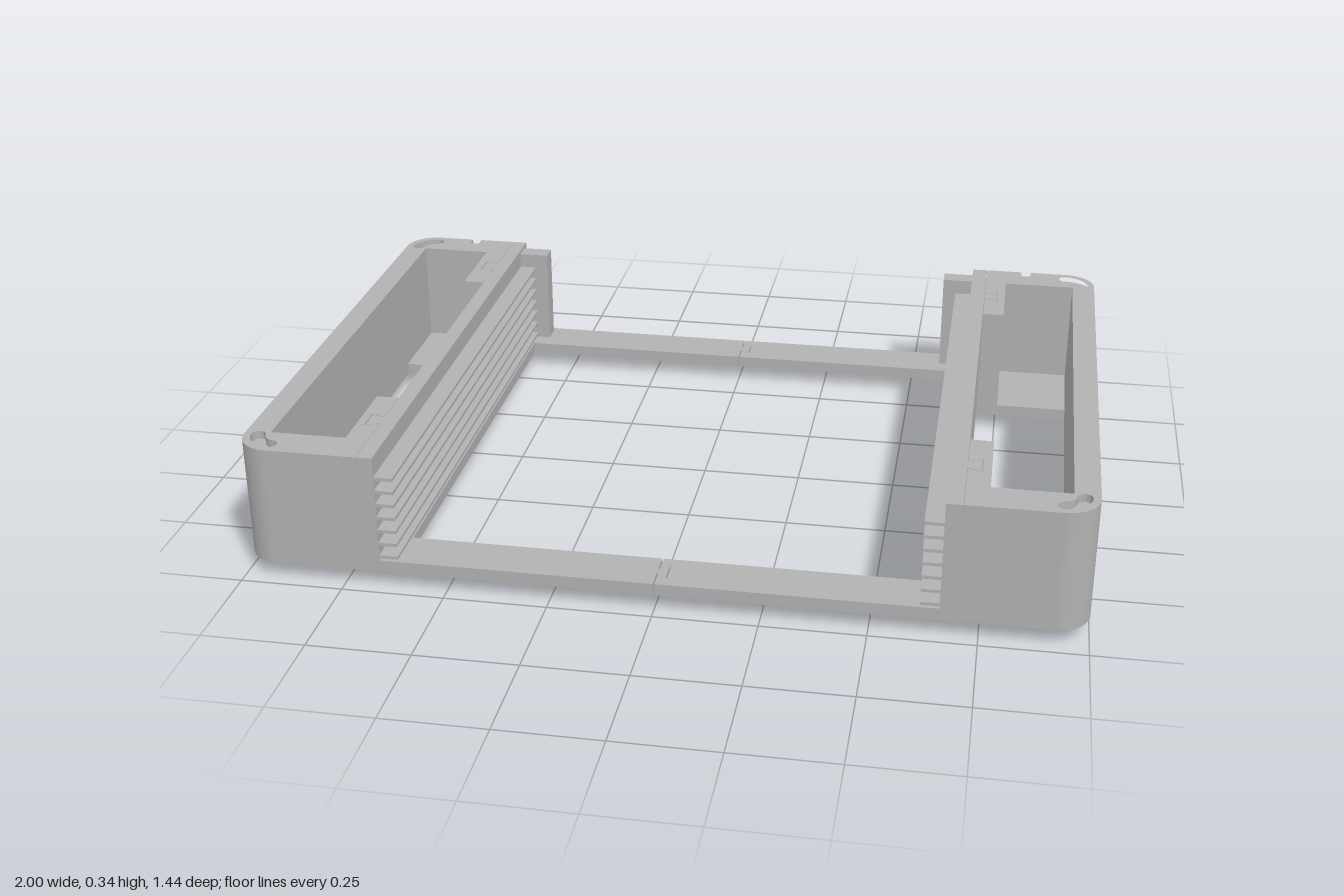
import * as THREE from 'three';

const grey = new THREE.MeshStandardMaterial({ color: 0xb2b2b2 });
grey.name = 'grey plastic';

const path = (pts, s, Type) => new Type(pts.map(([x, y]) => new THREE.Vector2(x * s, y)));

function add(group, name, geometry) {
  const mesh = new THREE.Mesh(geometry, grey);
  mesh.name = name;
  group.add(mesh);
}

// Upright prism from a plan outline of [x, z] points; s mirrors x
function plan(group, name, pts, y0, y1, s = 1, holes = []) {
  const shape = path(pts, s, THREE.Shape);
  holes.forEach(h => shape.holes.push(path(h, s, THREE.Path)));
  const geo = new THREE.ExtrudeGeometry(shape, { depth: y1 - y0, bevelEnabled: false });
  geo.rotateX(Math.PI / 2).translate(0, y1, 0);
  add(group, name, geo);
}

// Prism from a front outline of [x, y] points, running along z
function elevation(group, name, pts, z0, z1, s) {
  const geo = new THREE.ExtrudeGeometry(path(pts, s, THREE.Shape), { depth: z1 - z0, bevelEnabled: false });
  add(group, name, geo.translate(0, 0, z0));
}

function box(group, name, x0, x1, y0, y1, z0, z1, s = 1) {
  const geo = new THREE.BoxGeometry(x1 - x0, y1 - y0, z1 - z0);
  add(group, name, geo.translate(s * (x0 + x1) / 2, (y0 + y1) / 2, (z0 + z1) / 2));
}

function arc(cx, cz, r, a0, a1, n) {
  const pts = [];
  for (let i = 0; i <= n; i++) {
    const a = a0 + (a1 - a0) * i / n;
    pts.push([cx + r * Math.cos(a), cz + r * Math.sin(a)]);
  }
  return pts;
}

// Curved bean with round ends, following a corner; f is +1 front, -1 back
function bean(f, r, half) {
  const cx = 0.915, cz = 0.635, a0 = 0.12, a1 = Math.PI / 2 - 0.12;
  const end = a => [cx + r * Math.cos(a), cz + r * Math.sin(a)];
  return [
    ...arc(cx, cz, r + half, a0, a1, 8),
    ...arc(...end(a1), half, a1, a1 + Math.PI, 6).slice(1),
    ...arc(cx, cz, r - half, a1, a0, 8).slice(1),
    ...arc(...end(a0), half, a0 + Math.PI, a0 + 2 * Math.PI, 6).slice(1, -1),
  ].map(([x, z]) => [x, z * f]);
}

// Dovetail points in +x from an edge at x, in order of rising z
const dovetail = (x, z, depth, neck, wide) => [
  [x, z - neck], [x + depth, z - wide], [x + depth, z + wide], [x, z + neck],
];

function sideBox(s) {
  const g = new THREE.Group();
  g.name = s > 0 ? 'leftBox' : 'rightBox';
  const R = 0.08;

  // Outer walls with rounded corners and a recess for the back joint
  const walls = [
    [0.70, 0.72], ...arc(1 - R, 0.72 - R, R, Math.PI / 2, 0, 12),
    ...arc(1 - R, R - 0.72, R, 0, -Math.PI / 2, 12),
    [0.86, -0.72], [0.86, -0.69], [0.76, -0.69], [0.76, -0.72], [0.70, -0.72],
    [0.70, -0.625], [0.94, -0.625], [0.94, 0.625], [0.70, 0.625],
  ];
  plan(g, 'outerWall', walls, 0.04, 0.32, s);
  plan(g, 'slottedRim', walls, 0.32, 0.34, s, [bean(1, 0.05, 0.018), bean(-1, 0.05, 0.018)]);

  // Stacking joint on the back: socket above, tongue below
  elevation(g, 'stackingSocket', [
    [0.76, 0.04], [0.86, 0.04], [0.86, 0.34], [0.823, 0.34], [0.823, 0.328],
    [0.835, 0.312], [0.835, 0.30], [0.785, 0.30], [0.785, 0.312],
    [0.797, 0.328], [0.797, 0.34], [0.76, 0.34],
  ], -0.72, -0.69, s);
  elevation(g, 'stackingTongue', [
    [0.797, 0.045], [0.797, 0.03], [0.785, 0.013], [0.785, 0],
    [0.835, 0], [0.835, 0.013], [0.823, 0.03], [0.823, 0.045],
  ], -0.72, -0.69, s);

  for (const f of [1, -1]) {
    const z0 = f > 0 ? 0.39 : -0.625, z1 = f > 0 ? 0.625 : -0.39;
    box(g, 'cornerFloor', 0.755, 0.94, 0.04, 0.07, z0, z1, s);
    plan(g, 'jointPost', [
      [0.70, z0], ...dovetail(0.70, f * 0.52, 0.035, 0.019, 0.033),
      [0.70, z1], [0.755, z1], [0.755, z0],
    ], 0.04, 0.34, s);
    plan(g, 'curvedFoot', bean(f, 0.045, 0.015), 0.025, 0.045, s);
  }

  // Inner wall keyed into the posts
  plan(g, 'innerWall', [
    [0.66, -0.72], [0.66, 0.72], [0.699, 0.72],
    ...dovetail(0.699, 0.52, 0.033, 0.016, 0.030).reverse(),
    ...dovetail(0.699, -0.52, 0.033, 0.016, 0.030).reverse(),
    [0.699, -0.72],
  ], 0.04, 0.34, s);

  // Slide-in fins, bottom rail and back stop
  for (let i = 0; i < 7; i++) {
    const y = 0.287 - i * 0.0345;
    box(g, 'fin', 0.615, 0.66, y - 0.004, y + 0.004, -0.65, 0.72, s);
  }
  box(g, 'bottomRail', 0.615, 0.66, 0.04, 0.07, -0.72, 0.72, s);
  box(g, 'backStop', 0.58, 0.66, 0.07, 0.33, -0.70, -0.65, s);
  return g;
}

export function createModel() {
  const model = new THREE.Group();
  model.name = 'desktopRackFrame';
  for (const s of [1, -1]) model.add(sideBox(s));

  // Cross bars, each of two halves with a dovetail joint in the middle
  for (const f of [1, -1]) {
    const z0 = f > 0 ? 0.60 : -0.72, z1 = f > 0 ? 0.72 : -0.60, zc = f * 0.66;
    plan(model, 'crossBarSocketHalf', [
      [-0.615, z0], [0.615, z0], [0.615, z0 + 0.001], [0.002, z0 + 0.001],
      ...dovetail(0.002, zc, 0.024, 0.014, 0.028),
      [0.002, z1], [0.615, z1], [0.615, z1],
    ].slice(4, 9).reverse().concat([[0.615, z0 + 0.001]]).length ? [
      [0.615, z0], [0.002, z0], ...dovetail(0.002, zc, 0.024, 0.014, 0.028),
      [0.002, z1], [0.615, z1],
    ] : [], 0.04, 0.07);
    plan(model, 'crossBarTongueHalf', [
      [-0.615, z0], [-0.002, z0], ...dovetail(-0.002, zc, 0.024, 0.011, 0.025),
      [-0.002, z1], [-0.615, z1],
    ], 0.04, 0.07);
  }
  return model;
}
